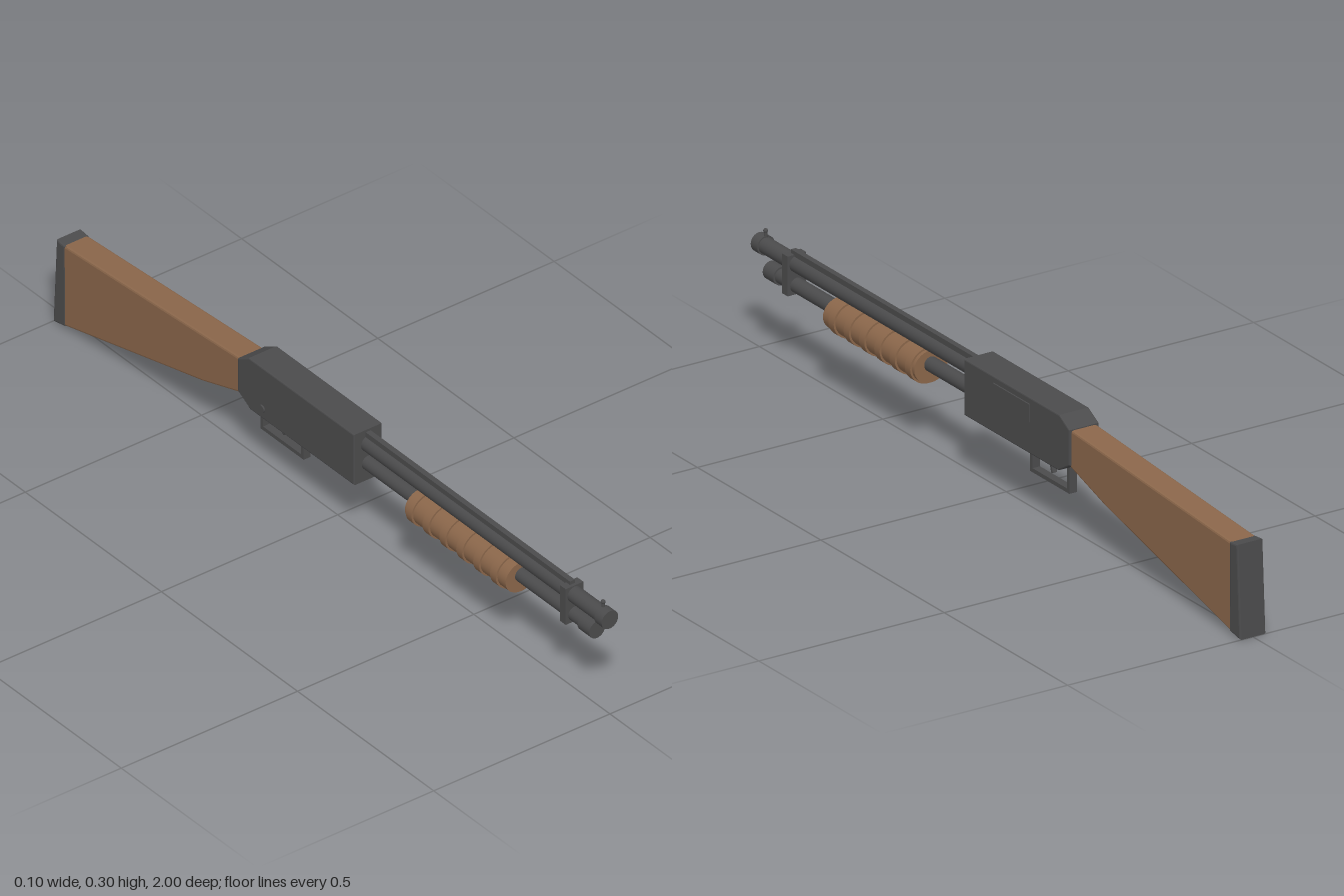
import * as THREE from 'three';

const metal = new THREE.MeshStandardMaterial({ color: 0x4b4b4c });
metal.name = 'dark metal';
const wood = new THREE.MeshStandardMaterial({ color: 0x8a664a });
wood.name = 'brown wood';

export function createModel() {
  const model = new THREE.Group();

  const add = (name, geometry, material = metal) => {
    const mesh = new THREE.Mesh(geometry, material);
    mesh.name = name;
    model.add(mesh);
    return mesh;
  };

  // box given by its ranges along x, y and z
  const box = (name, x0, x1, y0, y1, z0, z1) =>
    add(name, new THREE.BoxGeometry(x1 - x0, y1 - y0, z1 - z0)
      .translate((x0 + x1) / 2, (y0 + y1) / 2, (z0 + z1) / 2));

  // cylinder running along z, optionally oval
  const rod = (name, radius, y, z0, z1, material = metal, squash = 1) =>
    add(name, new THREE.CylinderGeometry(radius, radius, z1 - z0, 32)
      .rotateX(Math.PI / 2).scale(1, squash, 1)
      .translate(0, y, (z0 + z1) / 2), material);

  // side profile of [z, y] points, extruded across x with bevelled edges
  const slab = (name, points, halfWidth, bevel, material = metal) => {
    const shape = new THREE.Shape(points.map(([z, y]) => new THREE.Vector2(z, y)));
    const depth = 2 * (halfWidth - bevel);
    const geometry = new THREE.ExtrudeGeometry(shape, {
      depth, bevelThickness: bevel, bevelSize: bevel, bevelOffset: -bevel, bevelSegments: 2,
    });
    return add(name, geometry.translate(0, 0, -depth / 2).rotateY(-Math.PI / 2), material);
  };

  // receiver with sloped rear corners
  slab('receiver', [
    [0.112, 0.158], [0.112, 0.295], [-0.275, 0.295], [-0.316, 0.272],
    [-0.316, 0.185], [-0.27, 0.158],
  ], 0.04, 0.003);
  box('ejectionPort', 0.039, 0.0435, 0.236, 0.28, -0.157, -0.01);
  add('safetyButton', new THREE.CylinderGeometry(0.01, 0.01, 0.01, 16)
    .rotateZ(Math.PI / 2).translate(-0.039, 0.185, -0.225));

  // barrel and magazine tube
  rod('barrel', 0.02, 0.257, 0.1, 0.98);
  rod('muzzleRing', 0.0235, 0.257, 0.973, 1);
  rod('magazineTube', 0.018, 0.205, 0.1, 0.92);
  rod('magazineCap', 0.0225, 0.205, 0.91, 0.953);
  box('barrelClamp', -0.025, 0.025, 0.183, 0.28, 0.848, 0.87);
  box('barrelRib', -0.007, 0.007, 0.27, 0.289, 0.1, 0.862);

  // front sight
  add('sightPost', new THREE.CylinderGeometry(0.004, 0.004, 0.02, 12).translate(0, 0.283, 0.975));
  add('sightBead', new THREE.SphereGeometry(0.0055, 16, 12).translate(0, 0.293, 0.975));

  // sliding forend with raised rings
  rod('forend', 0.045, 0.199, 0.305, 0.675, wood, 0.88);
  for (let i = 0; i < 6; i++) {
    const z = 0.325 + i * 0.062;
    rod('forendRing', 0.05, 0.199, z - 0.011, z + 0.011, wood, 0.88);
  }

  // trigger and guard
  box('guardFront', -0.01, 0.01, 0.094, 0.165, -0.122, -0.112);
  box('guardRear', -0.01, 0.01, 0.094, 0.165, -0.271, -0.261);
  box('guardBottom', -0.01, 0.01, 0.094, 0.104, -0.271, -0.112);
  slab('trigger', [
    [-0.174, 0.165], [-0.186, 0.165], [-0.198, 0.118], [-0.191, 0.116],
  ], 0.006, 0.001);

  // stock and butt plate
  slab('stock', [
    [-0.31, 0.27], [-0.965, 0.226], [-0.965, 0.008], [-0.45, 0.134], [-0.31, 0.178],
  ], 0.034, 0.005, wood);
  slab('buttPlate', [
    [-0.957, 0.226], [-0.988, 0.229], [-1, 0.001], [-0.956, 0.009],
  ], 0.035, 0.004);

  return model;
}
